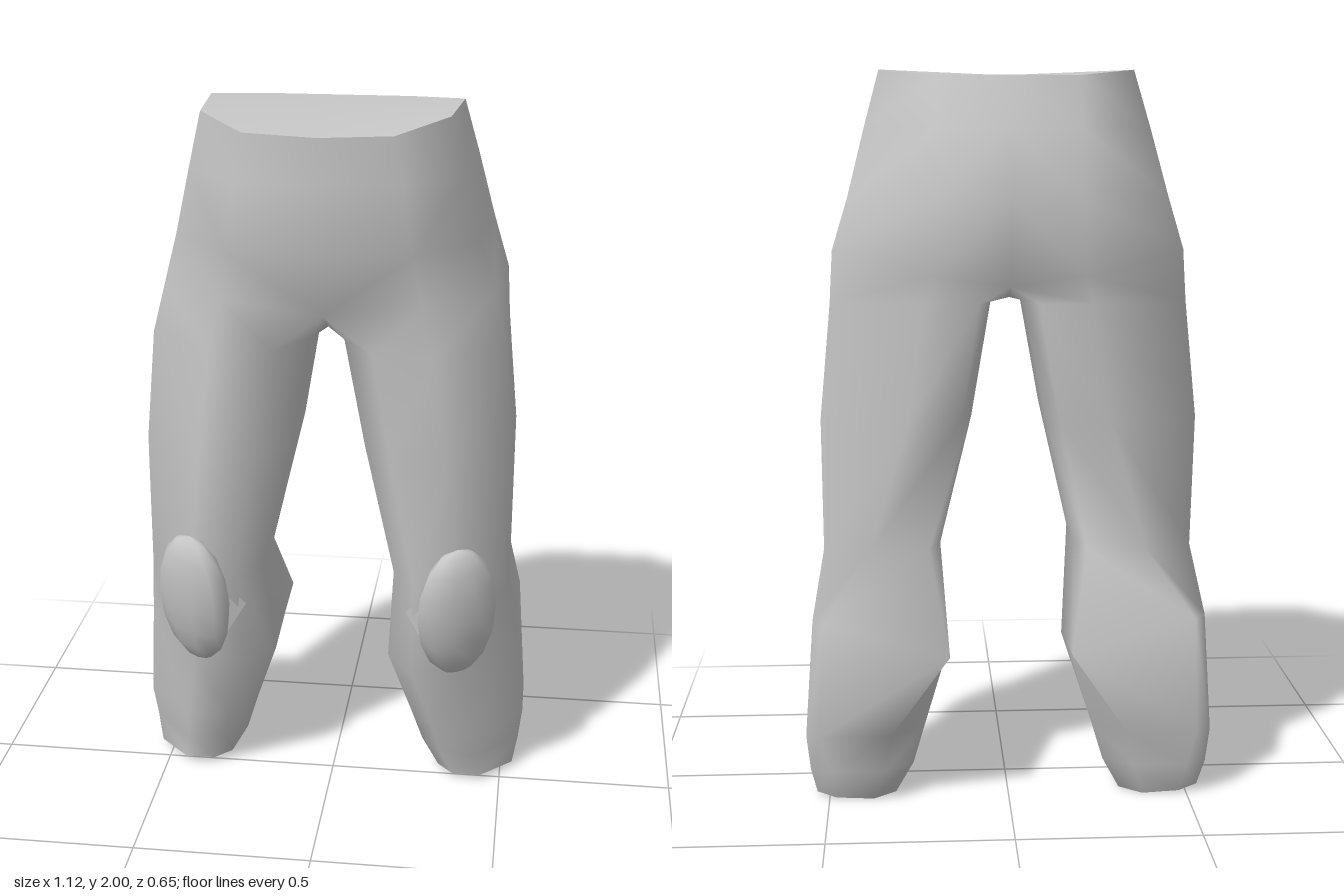
import * as THREE from 'three';
import { mergeVertices } from 'three/addons/utils/BufferGeometryUtils.js';

// y, half width, front z, back z, spread of the back corner
const HIP_RINGS = [
  [2.0, 0.34, 0.33, -0.2, 0.56],
  [1.85, 0.38, 0.325, -0.25, 0.5],
  [1.67, 0.425, 0.325, -0.305, 0.45],
  [1.53, 0.468, 0.282, -0.29, 0.42],
];

// y, inner x, outer x, front z, back z,
// inner back u, outer back u, outer front v, outer rear v,
// push of the inner back corner, rise to the outside, rise to the front
const LEG_RINGS = [
  [1.39, 0.045, 0.476, 0.262, -0.23, 0.08, 0.42, 0.68, 0.1, 0, 0, 0],
  [1.08, 0.1, 0.505, 0.248, -0.27, 0.08, 0.42, 0.71, 0.14, 0, 0, 0],
  [0.71, 0.185, 0.505, 0.225, -0.175, 0.1, 0.6, 0.68, 0.08, 0, 0, 0],
  [0.45, 0.165, 0.535, 0.155, -0.27, 0, 0.92, 0.62, 0.06, 0.055, 0.09, -0.06],
  [0.2, 0.235, 0.56, 0.085, -0.24, 0.28, 0.88, 0.55, 0.05, 0, 0, 0],
  [0.1, 0.265, 0.55, 0.05, -0.24, 0.28, 0.8, 0.55, 0.1, 0, 0, 0],
  [0.0, 0.315, 0.535, 0.03, -0.2, 0.28, 0.75, 0.6, 0.15, 0, 0.012, 0.016],
];

// Sections go counterclockwise seen from above, starting at the inner front
const hipRing = ([y, w, zf, zb, spread], r) =>
  [[0, 1], [0.56, 0.96], [0.94, 0.69], [1, 0.2], [spread, 0], [0, 0]].map(([u, v], i) => {
    const dip = r === 0 ? [0.03, 0.025, 0, 0, 0.015, 0.015][i] : 0;
    return [u * w, y - dip, zb + (zf - zb) * v];
  });

const legRing = ([y, xi, xo, zf, zb, fu, eu, cv, dv, push, riseOut, riseFront]) =>
  [[0.2, 0.95], [0.58, 1], [1, cv], [1, dv], [eu, 0], [fu, 0], [0, 0.22], [0, 0.7]].map(([u, v], i) => [
    xi + (xo - xi) * u,
    y + riseOut * u + riseFront * v,
    zb + (zf - zb) * v - (i === 5 ? push : 0),
  ]);

function geometryFrom(triangles) {
  const g = new THREE.BufferGeometry();
  g.setAttribute('position', new THREE.Float32BufferAttribute(triangles.flat(2), 3));
  const merged = mergeVertices(g, 1e-4);
  merged.computeVertexNormals();
  return merged;
}

const mirror = (p) => [-p[0], p[1], p[2]];

// Flat fan closing a loop of points
function capGeometry(loop, faceDown) {
  const c = [0, 1, 2].map((k) => loop.reduce((s, p) => s + p[k], 0) / loop.length);
  return geometryFrom(loop.map((p, i) => {
    const q = loop[(i + 1) % loop.length];
    return faceDown ? [c, q, p] : [c, p, q];
  }));
}

export function createModel() {
  const model = new THREE.Group();
  const cloth = new THREE.MeshStandardMaterial({ color: 0xc8c8c8, side: THREE.DoubleSide });
  cloth.name = 'grey cloth';
  const add = (name, geometry) => {
    const mesh = new THREE.Mesh(geometry, cloth);
    mesh.name = name;
    model.add(mesh);
    return mesh;
  };

  // Left half of the trousers: open hip sections, then closed leg sections
  const half = [];
  const bridge = (top, bottom, segments) => {
    for (let i = 0; i < segments; i++) {
      const j = (i + 1) % top.length;
      half.push([bottom[i], bottom[j], top[j]], [bottom[i], top[j], top[i]]);
    }
  };
  const hips = HIP_RINGS.map(hipRing);
  const last = hips[hips.length - 1];
  last[0] = [0, 1.48, 0.21];
  last[4][1] = 1.47;
  last[5] = [0, 1.44, -0.27];
  for (let r = 0; r < hips.length - 1; r++) bridge(hips[r], hips[r + 1], 5);

  // The crotch seam completes the first leg loop
  const legs = [[...last, [0, 1.405, -0.19], [0, 1.42, 0.1]], ...LEG_RINGS.map(legRing)];
  for (let r = 0; r < legs.length - 1; r++) bridge(legs[r], legs[r + 1], 8);

  const otherHalf = half.map(([a, b, c]) => [mirror(a), mirror(c), mirror(b)]);
  add('trousers', geometryFrom([...half, ...otherHalf]));

  // Closed waist
  const waist = hips[0];
  add('waistCap', capGeometry([...waist, ...waist.slice(1, 5).reverse().map(mirror)], false));

  for (const side of [1, -1]) {
    const label = side > 0 ? 'left' : 'right';

    // Closed ankle
    const ankle = legs[legs.length - 1];
    add(label + 'AnkleCap', capGeometry(side > 0 ? ankle : ankle.map(mirror).reverse(), true));

    // Oval knee pad, turned outward and leaning forward at the top
    const pad = add(label + 'KneePad', new THREE.SphereGeometry(1, 10, 8));
    pad.scale.set(0.12, 0.215, 0.06);
    pad.rotation.set(0.2, side * 0.5, side * 0.12, 'YXZ');
    pad.position.set(side * 0.37, 0.635, 0.185);

    // Pointed inner edge of the knee pad
    const flap = [[0.32, 0.74, 0.22], [0.225, 0.62, 0.175], [0.31, 0.48, 0.19]];
    const tri = side > 0 ? flap : flap.map(mirror).reverse();
    add(label + 'KneeFlap', geometryFrom([tri]));
  }
  return model;
}
